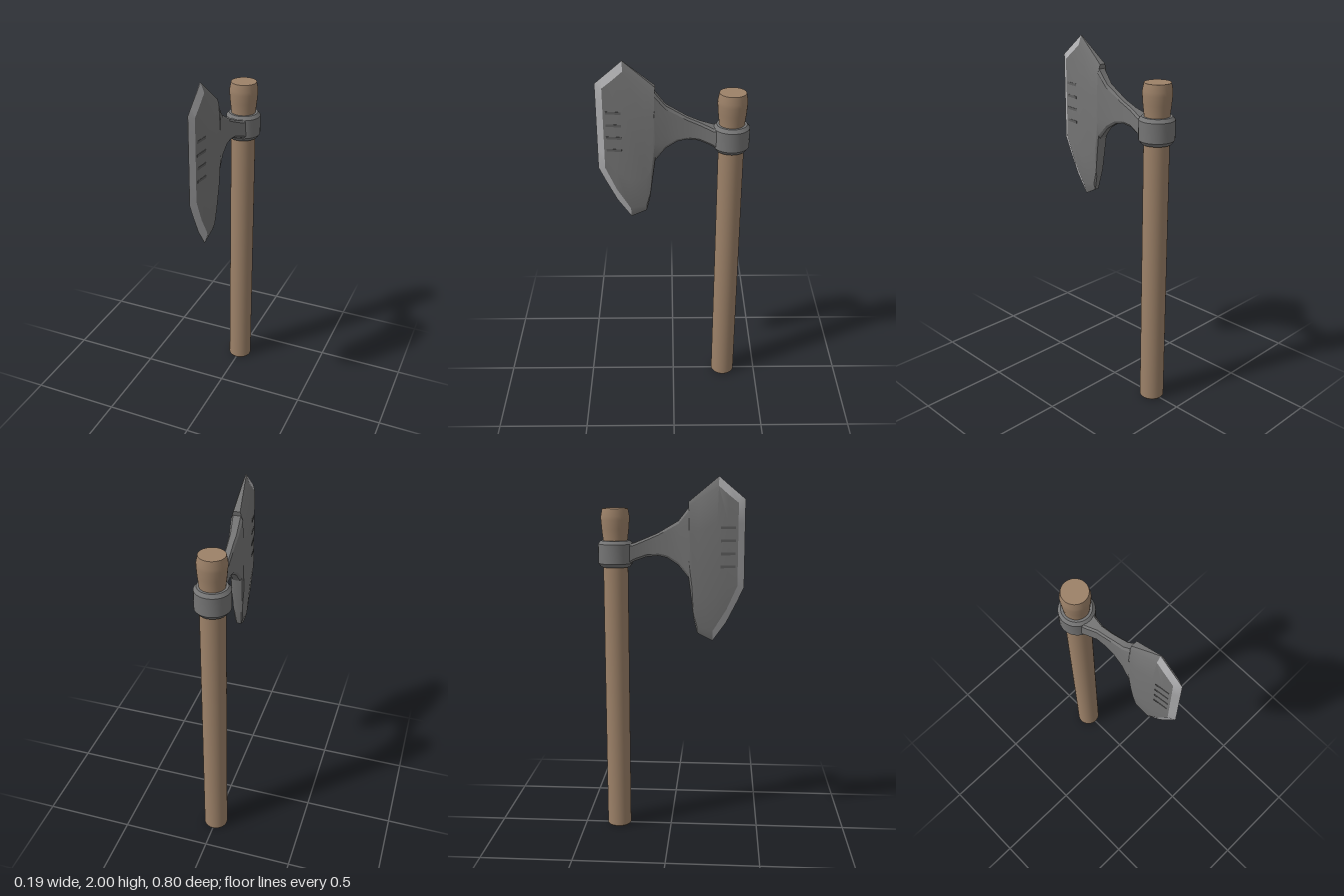
import * as THREE from 'three';
import { toCreasedNormals } from 'three/addons/utils/BufferGeometryUtils.js';

const mat = (name, color, side = THREE.FrontSide) => {
  const m = new THREE.MeshStandardMaterial({ color, side });
  m.name = name;
  return m;
};

const HANDLE_Z = -0.305;

// Blade stations from collar to cutting edge:
// top z, top y, bottom z, bottom y, half thickness, rim half thickness, rim factor, top inset, bottom inset
const STATIONS = [
  [-0.25, 1.65, -0.25, 1.52, 0.055, 0.045, 1, 0.012, 0.012],
  [-0.21, 1.642, -0.2, 1.548, 0.042, 0.032, 1, 0.012, 0.012],
  [-0.14, 1.67, -0.135, 1.57, 0.024, 0.015, 1, 0.012, 0.012],
  [-0.07, 1.70, -0.07, 1.577, 0.022, 0.014, 1, 0.012, 0.012],
  [-0.02, 1.73, -0.02, 1.565, 0.022, 0.014, 1, 0.014, 0.014],
  [0.04, 1.765, 0.04, 1.527, 0.026, 0.016, 0.95, 0.016, 0.016],
  [0.098, 1.84, 0.095, 1.46, 0.037, 0.02, 0.85, 0.02, 0.02],
  [0.093, 1.865, 0.125, 1.235, 0.037, 0.018, 0.7, 0.025, 0.03],
  [0.15, 1.912, 0.145, 1.15, 0.036, 0.012, 0.65, 0.03, 0.035],
  [0.257, 2.0, 0.23, 1.105, 0.034, 0.002, 0.6, 0.05, 0.06],
  [0.31, 1.955, 0.305, 1.21, 0.027, 0.001, 0.75, 0.052, 0.075],
  [0.363, 1.911, 0.363, 1.325, 0.02, 0, 1, 0.05, 0.09],
  [0.4, 1.88, 0.4, 1.405, 0, 0, 1, 0, 0],
];

// One closed cross-section of 12 points, down the +x side and back up the -x side
function section([tz, ty, bz, by, h, rim, f, insetTop, insetBottom]) {
  const span = ty - by;
  const cuts = [
    [0, rim], [insetTop / span, h * f], [0.27, h],
    [0.73, h], [1 - insetBottom / span, h * f], [1, rim],
  ];
  const side = (s) => cuts.map(([t, x]) =>
    new THREE.Vector3(s * x, ty - span * t, tz + (bz - tz) * t));
  return [...side(1), ...side(-1).reverse()];
}

function buildBlade(metal, edgeMetal) {
  const loops = STATIONS.map(section);
  const body = [], bevel = [];
  const tri = (out, a, b, c) => {
    const area = b.clone().sub(a).cross(c.clone().sub(a)).length();
    if (area > 1e-8) for (const p of [a, b, c]) out.push(p.x, p.y, p.z);
  };
  for (let k = 0; k < loops.length - 1; k++) {
    for (let i = 0; i < 12; i++) {
      const j = (i + 1) % 12;
      const onRim = [0, 4, 5, 6, 10, 11].includes(i);
      const out = k >= 11 || (k >= 9 && onRim) ? bevel : body;
      const a = loops[k][i], b = loops[k + 1][i], c = loops[k + 1][j], d = loops[k][j];
      tri(out, a, b, d);
      tri(out, b, c, d);
    }
  }
  const make = (data, material, name) => {
    const g = new THREE.BufferGeometry();
    g.setAttribute('position', new THREE.Float32BufferAttribute(data, 3));
    const mesh = new THREE.Mesh(toCreasedNormals(g, 0.4), material);
    mesh.name = name;
    return mesh;
  };
  const group = new THREE.Group();
  group.name = 'axeHead';
  group.add(make(body, metal, 'bladeBody'), make(bevel, edgeMetal, 'cuttingEdge'));
  return group;
}

function lathe(profile, material, name) {
  const g = new THREE.LatheGeometry(profile.map(([r, y]) => new THREE.Vector2(r, y)), 32);
  const mesh = new THREE.Mesh(toCreasedNormals(g, 0.6), material);
  mesh.position.z = HANDLE_Z;
  mesh.name = name;
  return mesh;
}

export function createModel() {
  const wood = mat('wood', 0x9c8168);
  const metal = mat('dark steel', 0x757575);
  const edgeMetal = mat('bright steel', 0xb0b0b2);
  const groove = mat('engraving', 0x5e5e5e);

  const model = new THREE.Group();
  model.name = 'axe';

  // Shaft with a swollen end above the collar
  model.add(lathe([
    [0, 0], [0.064, 0], [0.068, 0.005], [0.068, 1.6], [0.067, 1.66],
    [0.074, 1.72], [0.078, 1.77], [0.078, 1.79], [0.07, 1.83], [0, 1.83],
  ], wood, 'handle'));

  // Chamfered ring that grips the shaft
  model.add(lathe([
    [0.066, 1.515], [0.08, 1.515], [0.095, 1.535], [0.095, 1.64], [0.08, 1.658], [0.066, 1.658],
  ], metal, 'collar'));

  model.add(buildBlade(metal, edgeMetal));

  // Abstract engraved bars on both cheeks: z, y, length, tilt
  const bars = [
    [0.31, 1.73, 0.08, 0], [0.31, 1.66, 0.08, 0], [0.31, 1.59, 0.08, 0], [0.31, 1.52, 0.08, 0],
  ];
  for (const s of [1, -1]) {
    const engraving = new THREE.Group();
    engraving.name = s > 0 ? 'leftEngraving' : 'rightEngraving';
    for (const [z, y, length, tilt] of bars) {
      const bar = new THREE.Mesh(new THREE.BoxGeometry(0.003, 0.014, length), groove);
      bar.name = 'engravedBar';
      bar.position.set(s * 0.0268, y, z);
      bar.rotation.set(tilt, -s * 0.13, 0);
      engraving.add(bar);
    }
    model.add(engraving);
  }
  return model;
}
